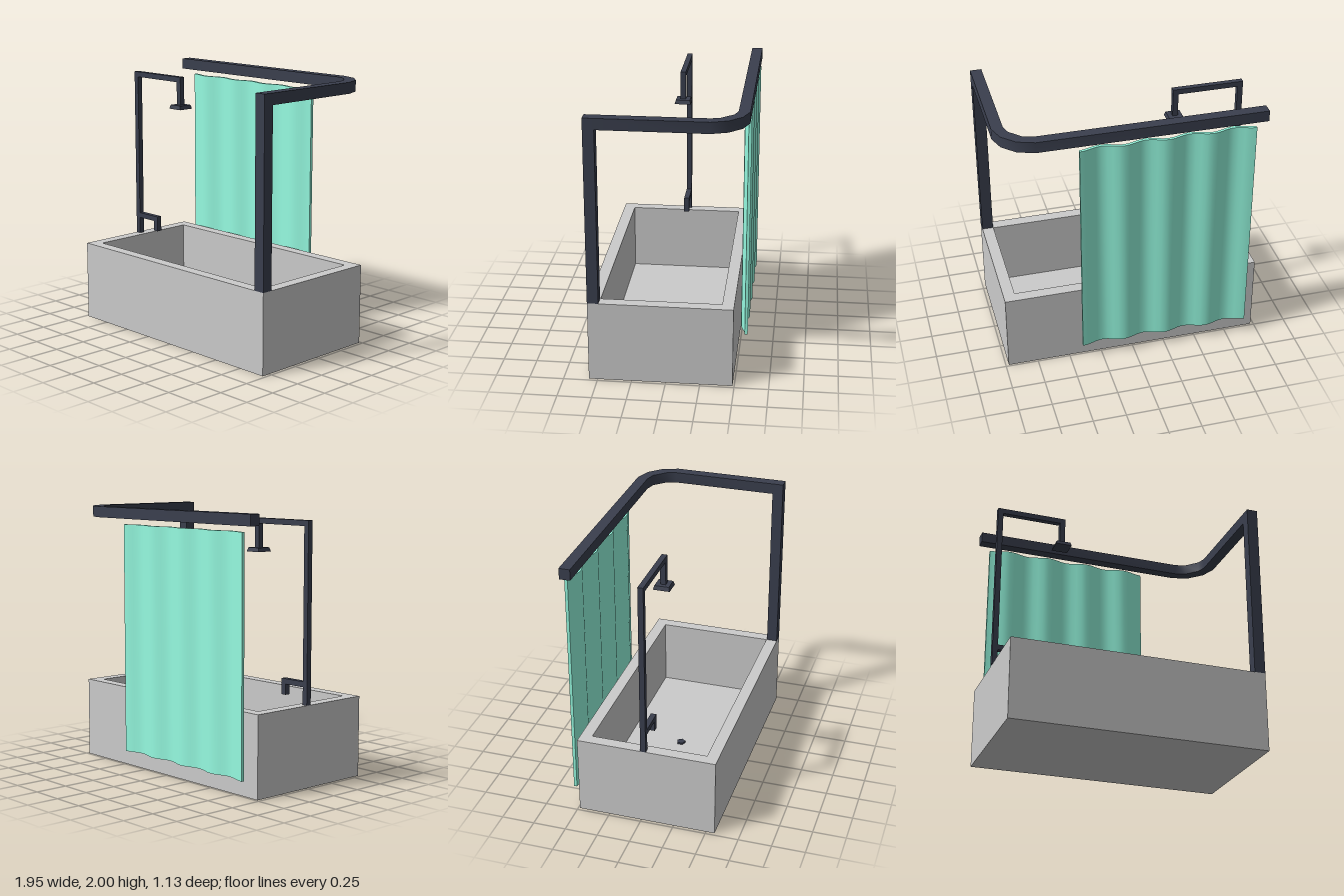
import * as THREE from 'three';
import { toCreasedNormals } from 'three/addons/utils/BufferGeometryUtils.js';

const grey = new THREE.MeshStandardMaterial({ color: 0xcccccc });
const dark = new THREE.MeshStandardMaterial({ color: 0x3a3f4e });
const mint = new THREE.MeshStandardMaterial({ color: 0x95fae0 });

function add(group, name, geometry, material) {
  const mesh = new THREE.Mesh(geometry, material);
  mesh.name = name;
  group.add(mesh);
  return mesh;
}

// Box given by its minimum and maximum corners
function boxBetween(x0, y0, z0, x1, y1, z1) {
  return new THREE.BoxGeometry(x1 - x0, y1 - y0, z1 - z0)
    .translate((x0 + x1) / 2, (y0 + y1) / 2, (z0 + z1) / 2);
}

// Plan outline of [x, z] points, raised from y0 to y1
function planExtrude(points, y0, y1, hole) {
  const toVectors = (list) => list.map(([x, z]) => new THREE.Vector2(x, z));
  const shape = new THREE.Shape(toVectors(points));
  if (hole) shape.holes.push(new THREE.Path(toVectors(hole)));
  return new THREE.ExtrudeGeometry(shape, { depth: y1 - y0, bevelEnabled: false })
    .rotateX(Math.PI / 2).translate(0, y1, 0);
}

const rect = (x0, z0, x1, z1) => [[x0, z0], [x1, z0], [x1, z1], [x0, z1]];

export function createModel() {
  const model = new THREE.Group();
  model.name = 'showerBath';

  // Bathtub: open walls, floor and drain
  const tub = new THREE.Group();
  tub.name = 'bathtub';
  model.add(tub);
  add(tub, 'tubWalls', planExtrude(rect(-0.977, -0.487, 0.977, 0.565), 0, 0.61,
    rect(-0.89, -0.4, 0.89, 0.478)), grey);
  add(tub, 'tubFloor', boxBetween(-0.89, 0, -0.4, 0.89, 0.09, 0.478), grey);
  add(tub, 'drain', new THREE.CylinderGeometry(0.034, 0.034, 0.02, 5)
    .rotateY(Math.PI / 2).translate(-0.038, 0.095, 0.022).toNonIndexed(), dark);

  // Curtain rail with a rounded corner, carried by one post
  const rail = [
    [-0.977, -0.565], [0.715, -0.565], [0.84, -0.523], [0.935, -0.43], [0.977, -0.31],
    [0.977, 0.565], [0.892, 0.565], [0.892, -0.305], [0.87, -0.375], [0.785, -0.462],
    [0.705, -0.483], [-0.977, -0.483],
  ];
  add(model, 'curtainRail', toCreasedNormals(planExtrude(rail, 1.917, 2), 0.6), dark);
  add(model, 'railPost', boxBetween(0.892, 0.61, 0.483, 0.977, 1.917, 0.565), dark);

  // Shower pipe, head and tap
  const shower = new THREE.Group();
  shower.name = 'shower';
  model.add(shower);
  const pipe = (name, x0, y0, x1, y1) =>
    add(shower, name, boxBetween(x0, y0, 0, x1, y1, 0.041), dark);
  pipe('riserPipe', -0.977, 0.61, -0.936, 1.938);
  pipe('showerArm', -0.936, 1.897, -0.435, 1.938);
  pipe('showerDrop', -0.476, 1.715, -0.435, 1.897);
  pipe('tapArm', -0.936, 0.74, -0.721, 0.78);
  pipe('tapSpout', -0.762, 0.66, -0.721, 0.74);
  const head = new THREE.CylinderGeometry(0.054 * Math.SQRT2, 0.063 * Math.SQRT2, 0.03, 4)
    .rotateY(Math.PI / 4).translate(-0.455, 1.705, 0.02);
  add(shower, 'showerHead', toCreasedNormals(head, 0.5), dark);

  // Curtain: a thin sheet with four shallow folds
  const front = [], back = [];
  const steps = 32;
  for (let i = 0; i <= steps; i++) {
    const x = 0.408 - (1.3 * i) / steps;
    const z = -0.562 + 0.019 * (1 - Math.cos((i / steps) * 8 * Math.PI));
    back.push([x, z]);
    front.unshift([x, z + 0.023]);
  }
  add(model, 'curtain', toCreasedNormals(planExtrude([...back, ...front], 0.13, 1.875), 0.6), mint);

  return model;
}
